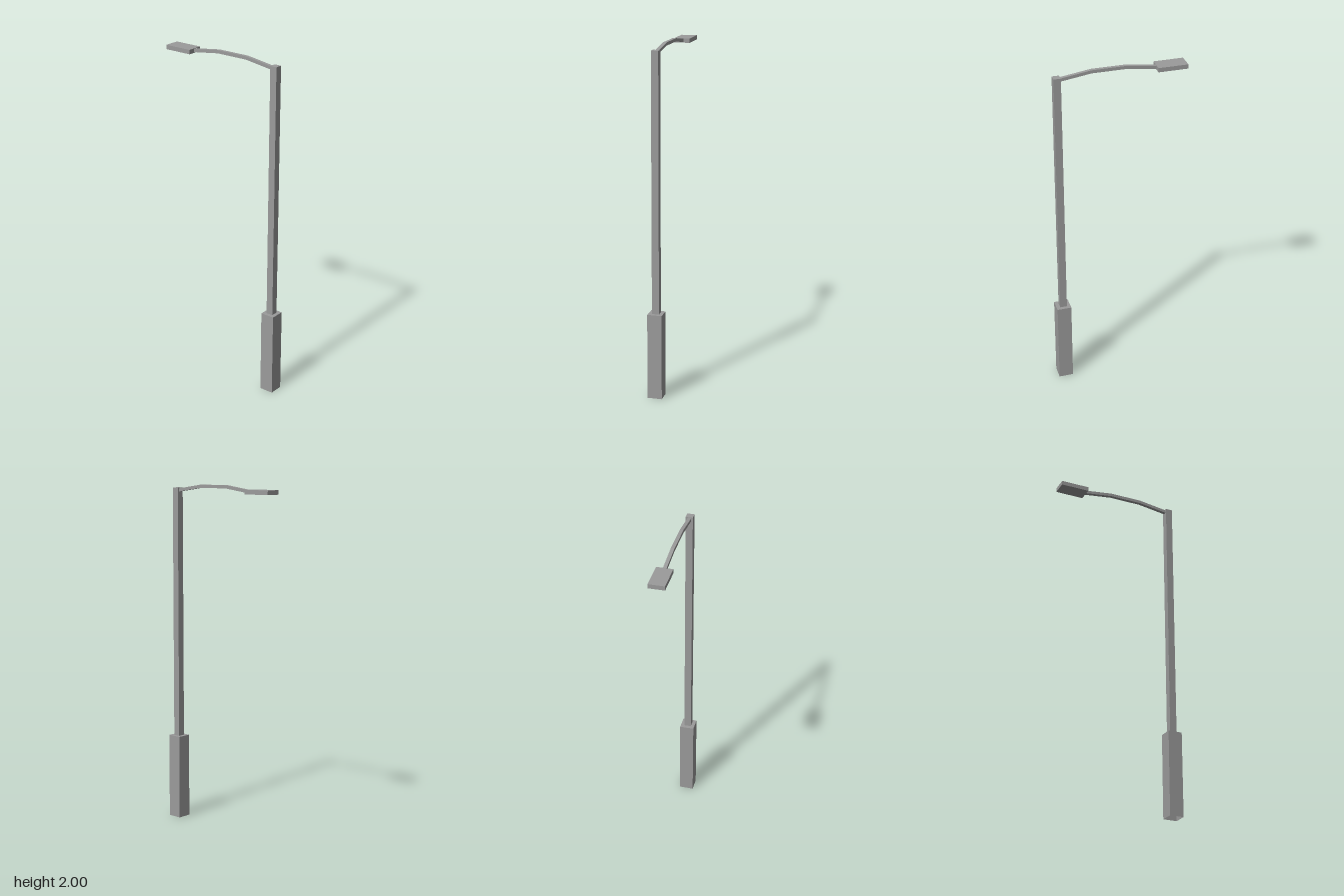
import * as THREE from 'three';

export function createModel() {
  const group = new THREE.Group();
  group.name = 'streetLamp';
  const material = new THREE.MeshStandardMaterial({
    color: 0x9b9b9b, flatShading: true, side: THREE.DoubleSide,
  });

  const add = (name, geometry, x, y, z) => {
    const mesh = new THREE.Mesh(geometry, material);
    mesh.name = name;
    mesh.position.set(x, y, z);
    group.add(mesh);
  };

  // Square post: wide base stepping in to a slim pole, open underneath
  const profile = [[0.042, 0], [0.042, 0.5], [0.0205, 0.5], [0.0205, 1.98], [0, 1.98]]
    .map(([half, y]) => new THREE.Vector2(half * Math.SQRT2, y));
  const post = new THREE.LatheGeometry(profile, 4).rotateY(Math.PI / 4).toNonIndexed();
  post.computeVertexNormals();
  add('post', post, 0.343, 0, -0.002);

  // Arched arm: a bent strip of constant height running from lamp to post
  const top = [[-0.216, 1.977], [-0.045, 2], [0.15, 2], [0.323, 1.975]];
  const thickness = 0.018, width = 0.02;
  const outline = [...top, ...top.map(([x, y]) => [x, y - thickness]).reverse()];
  const shape = new THREE.Shape(outline.map(([x, y]) => new THREE.Vector2(x, y)));
  const arm = new THREE.ExtrudeGeometry(shape, { depth: width, bevelEnabled: false });
  add('arm', arm, 0, 0, -0.001 - width / 2);

  // Flat lamp head
  add('lampHead', new THREE.BoxGeometry(0.17, 0.025, 0.092), -0.3, 1.967, 0);

  return group;
}
